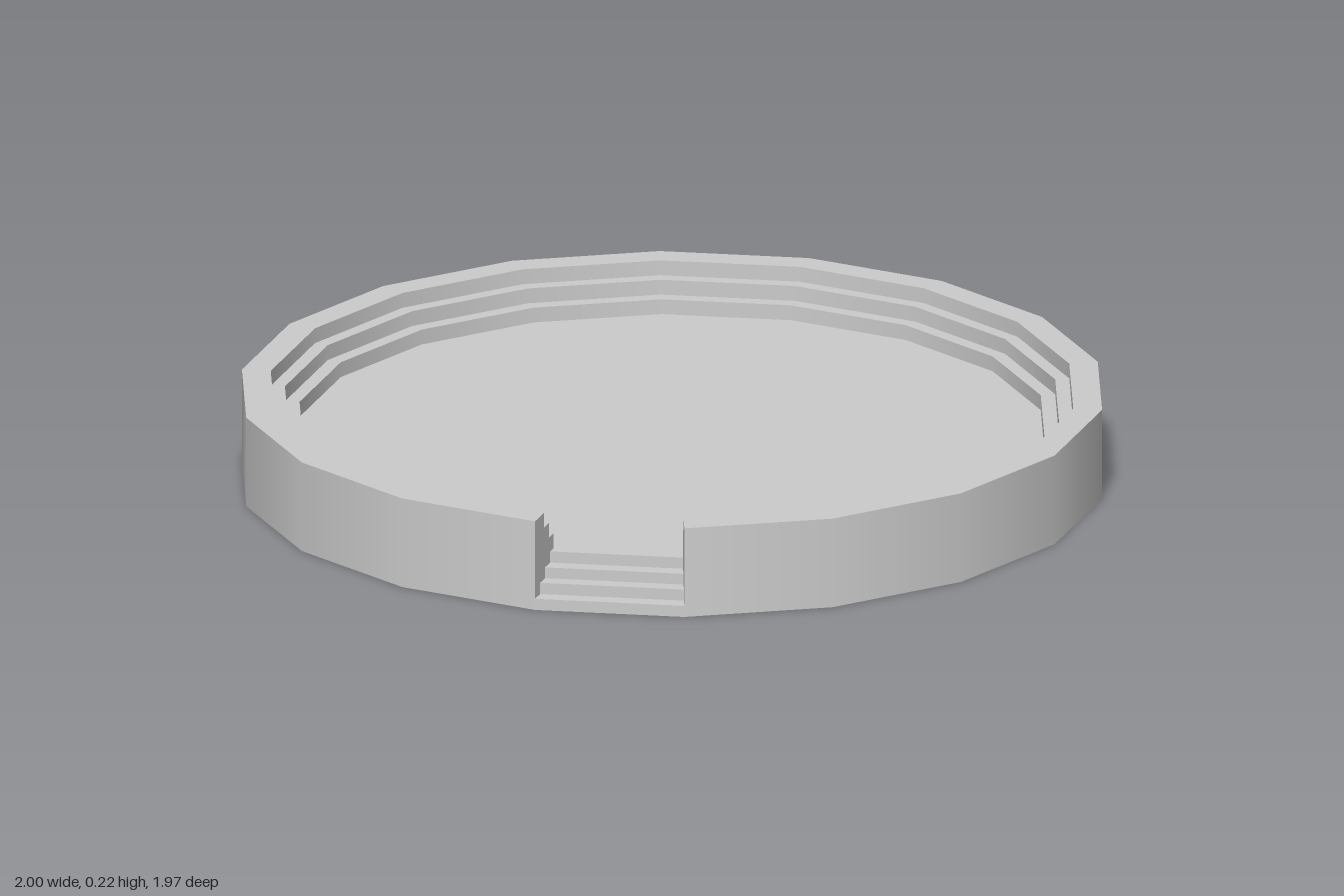
import * as THREE from 'three';

const SIDES = 18;
const STEP = (Math.PI * 2) / SIDES;
const FLOOR_Y = 0.107;
const FLOOR_R = 0.866;

// Profiles as [radius, height], running from the outer foot inwards
const wallProfile = [
  [1, 0], [1, 0.215], [0.933, 0.215], [0.933, 0.179],
  [0.9, 0.179], [0.9, 0.143], [FLOOR_R, 0.143], [FLOOR_R, FLOOR_Y],
];
const stairProfile = [
  [1, 0], [1, 0.027], [0.963, 0.027], [0.963, 0.054], [0.927, 0.054],
  [0.927, 0.08], [0.89, 0.08], [0.89, FLOOR_Y], [FLOOR_R, FLOOR_Y],
];

export function createModel() {
  const model = new THREE.Group();
  model.name = 'steppedArena';
  const material = new THREE.MeshStandardMaterial({ color: 0xcccccc, side: THREE.DoubleSide });

  const addMesh = (parent, name, geometry) => {
    const mesh = new THREE.Mesh(geometry, material);
    mesh.name = name;
    parent.add(mesh);
    return mesh;
  };

  // Sweeps each profile edge by itself: smooth around, sharp between edges
  const sweep = (name, profile, segments, start) => {
    const group = new THREE.Group();
    group.name = name;
    for (let i = 0; i < profile.length - 1; i++) {
      const edge = [profile[i], profile[i + 1]].map(([r, y]) => new THREE.Vector2(r, y));
      const isTread = profile[i][1] === profile[i + 1][1];
      addMesh(group, name + (isTread ? 'Tread' : 'Riser'),
        new THREE.LatheGeometry(edge, segments, start, segments * STEP));
    }
    model.add(group);
  };

  // Ring wall with inner steps, open over one side at the front
  sweep('wall', wallProfile, SIDES - 1, STEP / 2);

  // Entrance stairs filling the open side
  sweep('stairs', stairProfile, 1, -STEP / 2);

  // Arena floor
  const floor = addMesh(model, 'floor', new THREE.CircleGeometry(FLOOR_R, SIDES));
  floor.rotation.x = -Math.PI / 2;
  floor.position.y = FLOOR_Y;

  // Wall ends on both sides of the entrance, between the stairs and the rim
  const outline = [...stairProfile.slice(1), ...wallProfile.slice(1, -1).reverse()];
  const endShape = new THREE.Shape(outline.map(([r, y]) => new THREE.Vector2(r, y)));
  for (const side of [-1, 1]) {
    const end = addMesh(model, side > 0 ? 'leftWallEnd' : 'rightWallEnd',
      new THREE.ShapeGeometry(endShape));
    end.rotation.y = -Math.PI / 2 + (side * STEP) / 2;
  }

  return model;
}
